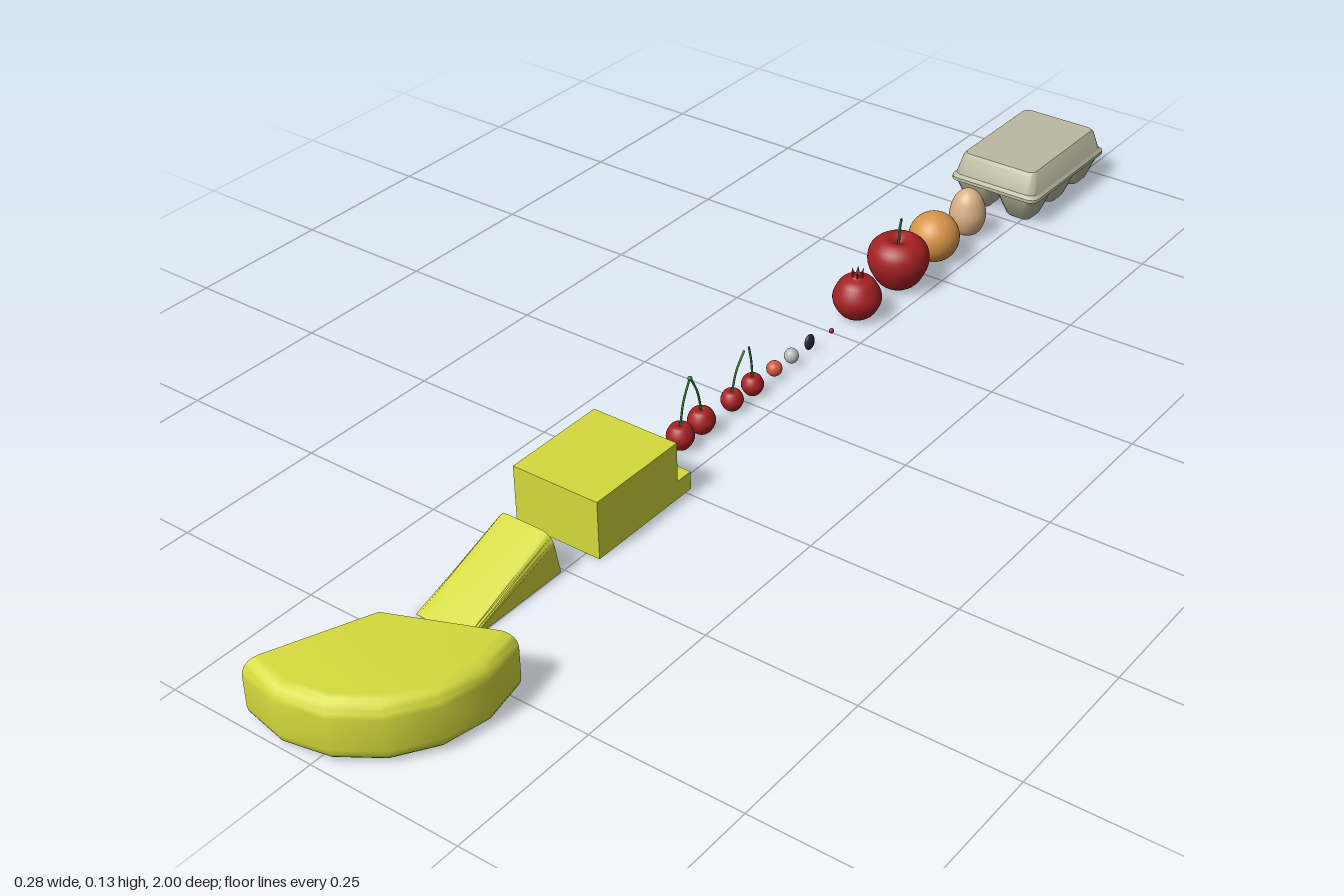
import * as THREE from 'three';
import { toCreasedNormals } from 'three/addons/utils/BufferGeometryUtils.js';

const AXIS = -0.053; // x of the row of food
const mat = (color) => new THREE.MeshStandardMaterial({ color, side: THREE.DoubleSide });
const cheese = mat(0xd4da3c), carton = mat(0xbcb9a0), red = mat(0xa52024), green = mat(0x2f7a32);

function add(parent, name, geometry, material, x = 0, y = 0, z = 0) {
  const mesh = new THREE.Mesh(geometry, material);
  mesh.name = name;
  mesh.position.set(x, y, z);
  parent.add(mesh);
  return mesh;
}

function group(parent, name, x, y, z) {
  const g = new THREE.Group();
  g.name = name;
  g.position.set(x, y, z);
  parent.add(g);
  return g;
}

// Skin a stack of equal-length rings and close both ends
function loft(rings) {
  const out = [], n = rings[0].length;
  const tri = (...points) => points.forEach((p) => out.push(p.x, p.y, p.z));
  const middle = (ring) => ring.reduce((s, p) => s.add(p), new THREE.Vector3()).divideScalar(n);
  const first = rings[0], last = rings[rings.length - 1];
  const c0 = middle(first), c1 = middle(last);
  for (let i = 0; i < n; i++) {
    const j = (i + 1) % n;
    for (let k = 0; k + 1 < rings.length; k++) {
      const a = rings[k], b = rings[k + 1];
      tri(a[i], a[j], b[j]);
      tri(a[i], b[j], b[i]);
    }
    tri(c0, first[j], first[i]);
    tri(c1, last[i], last[j]);
  }
  const g = new THREE.BufferGeometry();
  g.setAttribute('position', new THREE.Float32BufferAttribute(out, 3));
  return toCreasedNormals(g, 0.6);
}

// Horizontal rounded rectangle at height y
function roundedRing(w, d, y, r, steps = 4) {
  const ring = [];
  [[1, 1], [-1, 1], [-1, -1], [1, -1]].forEach(([sx, sz], q) => {
    for (let i = 0; i <= steps; i++) {
      const a = (q + i / steps) * Math.PI / 2;
      ring.push(new THREE.Vector3(
        sx * (w / 2 - r) + r * Math.cos(a), y, -(sz * (d / 2 - r) + r * Math.sin(a))));
    }
  });
  return ring;
}

function ball(parent, name, color, z, rx, ry = rx, rz = rx, y = ry) {
  const g = new THREE.SphereGeometry(1, 32, 20).scale(rx, ry, rz);
  return add(parent, name, g, color, AXIS, y, z);
}

function stem(parent, points, radius) {
  const curve = new THREE.CatmullRomCurve3(points.map((p) => new THREE.Vector3(...p)));
  return add(parent, 'stem', new THREE.TubeGeometry(curve, 12, radius, 8), green);
}

const lathe = (points, segments = 32) => new THREE.LatheGeometry(
  new THREE.SplineCurve(points.map((p) => new THREE.Vector2(...p))).getPoints(28), segments);

// Sector of a cheese wheel with a rounded rind
function cheeseSector(parent) {
  const R = 0.192, H = 0.098, r = 0.024;
  const g = group(parent, 'cheeseWheelSector', AXIS, 0, 0.808);
  const profile = [new THREE.Vector2(0, 0)];
  for (const [cy, start] of [[r, -Math.PI / 2], [H - r, 0]]) {
    for (let i = 0; i <= 5; i++) {
      const a = start + i / 5 * Math.PI / 2;
      profile.push(new THREE.Vector2(R - r + r * Math.cos(a), cy + r * Math.sin(a)));
    }
  }
  profile.push(new THREE.Vector2(0, H));
  const from = -Math.PI / 8, sweep = Math.PI * 0.75;
  const rind = new THREE.LatheGeometry(profile, 6, from, sweep);
  add(g, 'rind', toCreasedNormals(rind, 0.7), cheese);
  for (const angle of [from, from + sweep]) {
    const cut = add(g, 'cutFace', new THREE.ShapeGeometry(new THREE.Shape(profile)), cheese);
    cut.rotation.y = angle - Math.PI / 2;
  }
}

// Thin slice rising to a round-cornered back
function cheeseWedge(parent) {
  const section = (h, z, lean) => {
    const r = 0.02, half = 0.05, ring = [[-half, 0], [half, 0]];
    for (let i = 0; i <= 10; i++) {
      const a = i / 10 * Math.PI, side = i <= 5 ? 1 : -1;
      ring.push([side * (half - r) + r * Math.cos(a), 0.075 - r + r * Math.sin(a)]);
      if (i === 5) ring.push([-(half - r), 0.075]);
    }
    return ring.map(([x, y]) => new THREE.Vector3(x, y * h, z + lean * y));
  };
  add(parent, 'cheeseWedge', loft([section(1, 0.506, 0.2), section(0.01, 0.697, 0)]), cheese, -0.051);
}

function cherryPair(parent, name, z, gap, r, top, joined) {
  const g = group(parent, name, AXIS, 0, z);
  for (const s of [-1, 1]) {
    const z0 = s * gap / 2, z1 = joined ? s * 0.001 : s * 0.006 - 0.012;
    const fruit = lathe([[0, 0], [r * 0.6, r * 0.2], [r, r], [r * 0.72, r * 1.75],
      [r * 0.3, r * 1.92], [0, r * 1.75]], 24);
    add(g, 'cherry', fruit, red, 0, 0, z0);
    stem(g, [[0, r * 1.7, z0], [0, r * 2 + (top - r * 2) * 0.5, z0 * 0.65 + z1 * 0.35],
      [0, top, z1]], 0.0018);
  }
  if (joined) add(g, 'stemJoint', new THREE.SphereGeometry(0.004, 10, 8), green, 0, top, 0);
}

function apple(parent) {
  const g = group(parent, 'apple', AXIS, 0, -0.442);
  add(g, 'flesh', lathe([[0, 0.008], [0.015, 0.001], [0.036, 0.014], [0.052, 0.047],
    [0.048, 0.076], [0.028, 0.092], [0.01, 0.086], [0, 0.077]]), red);
  stem(g, [[0, 0.077, 0], [0.001, 0.105, 0.001], [0.006, 0.132, 0.004]], 0.0022);
}

function pomegranate(parent) {
  const g = group(parent, 'pomegranate', AXIS, 0, -0.318);
  add(g, 'rind', lathe([[0, 0], [0.026, 0.007], [0.0415, 0.037], [0.029, 0.067],
    [0.011, 0.076], [0.007, 0.081], [0, 0.079]]), red);
  // Pointed crown
  for (let i = 0; i < 6; i++) {
    const a = i / 6 * Math.PI * 2;
    const leaf = new THREE.ConeGeometry(0.004, 0.014, 4).rotateZ(-0.35).translate(0.009, 0.083, 0);
    add(g, 'crownLeaf', leaf, red).rotation.y = a;
  }
}

function eggCarton(parent) {
  const g = group(parent, 'eggCarton', AXIS, 0, -0.872);
  // Lid with rim
  add(g, 'lid', loft([roundedRing(0.17, 0.246, 0.046, 0.014), roundedRing(0.176, 0.256, 0.049, 0.016),
    roundedRing(0.176, 0.256, 0.055, 0.016), roundedRing(0.166, 0.244, 0.06, 0.016),
    roundedRing(0.15, 0.226, 0.093, 0.014), roundedRing(0.142, 0.217, 0.098, 0.012)]), carton);
  // Two rows of three tapered cups
  const cup = loft([roundedRing(0.042, 0.042, 0, 0.01), roundedRing(0.05, 0.05, 0.004, 0.013),
    roundedRing(0.082, 0.082, 0.05, 0.016)]);
  for (const x of [-0.042, 0.042]) {
    for (const z of [-0.083, 0, 0.083]) add(g, 'cup', cup, carton, x, 0, z);
  }
}

export function createModel() {
  const model = new THREE.Group();
  model.name = 'foodRow';

  cheeseSector(model);
  cheeseWedge(model);
  // Cheese block with a small cube beside it
  add(model, 'cheeseBlock', new THREE.BoxGeometry(0.155, 0.099, 0.183), cheese, AXIS, 0.0495, 0.36);
  add(model, 'cheeseCube', new THREE.BoxGeometry(0.03, 0.031, 0.031), cheese, 0.0095, 0.0155, 0.253);

  cherryPair(model, 'largeCherries', 0.135, 0.053, 0.0225, 0.112, true);
  cherryPair(model, 'smallCherries', 0.003, 0.054, 0.0185, 0.092, false);

  // Small berries and seeds
  ball(model, 'redBerry', mat(0xd2553f), -0.083, 0.013, 0.013, 0.013, 0.018);
  ball(model, 'whiteBerry', mat(0xb9bcbc), -0.13, 0.012, 0.013, 0.012, 0.018);
  ball(model, 'darkSeed', mat(0x25283a), -0.181, 0.006, 0.014, 0.0115, 0.018);
  ball(model, 'redSeed', mat(0x8c1a2c), -0.244, 0.004, 0.0045, 0.0045, 0.008);

  pomegranate(model);
  apple(model);
  ball(model, 'orange', mat(0xd69448), -0.555, 0.0445);
  // Egg, narrower toward the top
  add(model, 'egg', lathe([[0, 0], [0.022, 0.009], [0.0325, 0.039], [0.025, 0.07],
    [0.012, 0.085], [0, 0.089]]), mat(0xd8b084), AXIS, 0, -0.665);
  eggCarton(model);
  return model;
}
